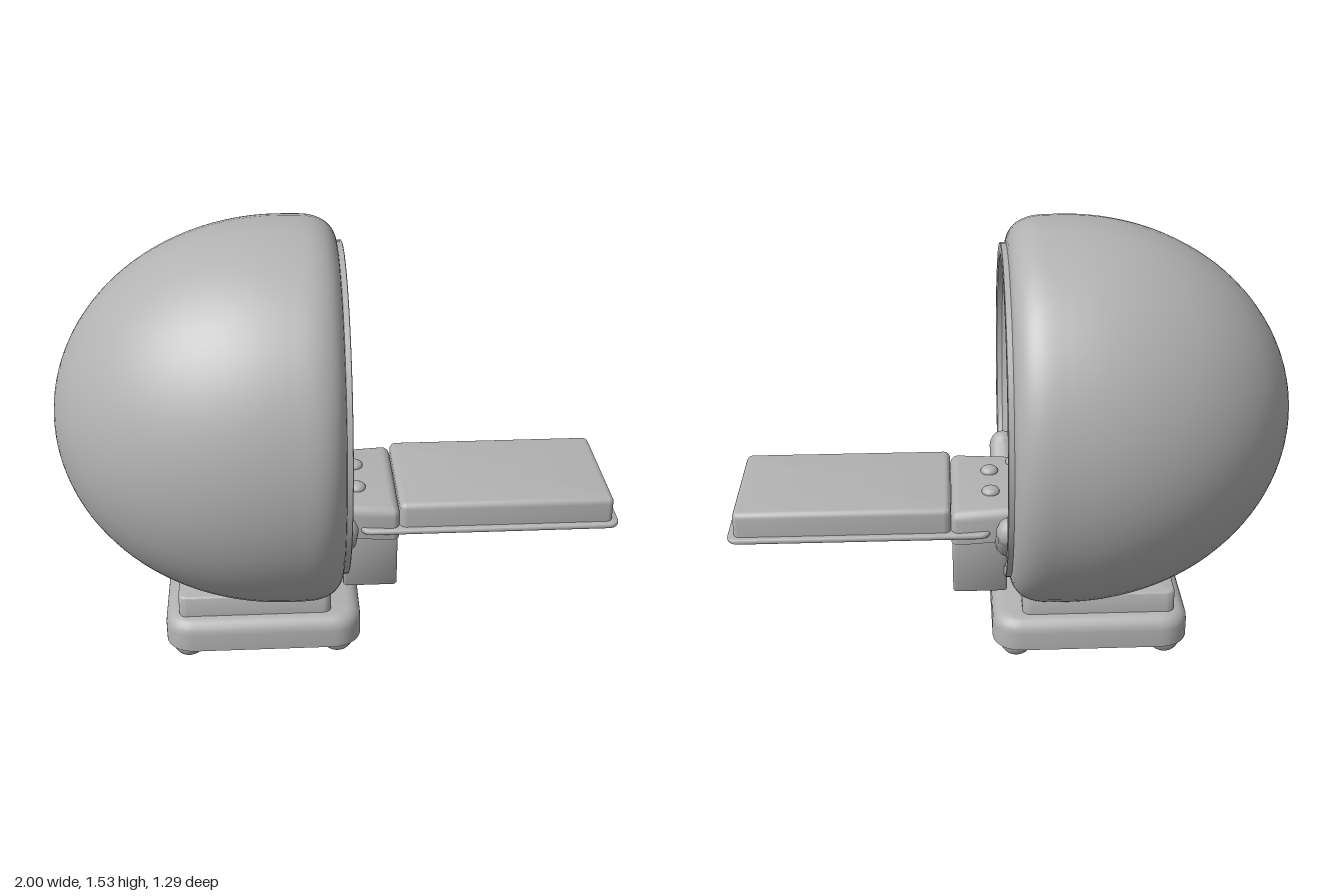
import * as THREE from 'three';
import { toCreasedNormals } from 'three/addons/utils/BufferGeometryUtils.js';

const grey = new THREE.MeshStandardMaterial({ color: 0xb2b2b2 });
grey.name = 'grey';

// Rounded-rectangle block stacked from levels of [height, inset]
function block(x0, x1, halfZ, radius, levels) {
  const steps = 6, pos = [], idx = [];
  const cx = (x0 + x1) / 2, halfX = (x1 - x0) / 2;
  const corners = [[1, -1], [-1, -1], [-1, 1], [1, 1]];
  const n = corners.length * (steps + 1);
  for (const [y, inset] of levels) {
    const r = Math.max(radius - inset, 0.002);
    corners.forEach(([sx, sz], c) => {
      for (let k = 0; k <= steps; k++) {
        const a = (c + k / steps) * Math.PI / 2;
        pos.push(
          cx + sx * (halfX - inset - r) + r * Math.cos(a), y,
          sz * (halfZ - inset - r) - r * Math.sin(a));
      }
    });
  }
  const last = (levels.length - 1) * n, bottom = levels.length * n, top = bottom + 1;
  pos.push(cx, levels[0][0], 0, cx, levels[levels.length - 1][0], 0);
  for (let j = 0; j < n; j++) {
    const k = (j + 1) % n;
    for (let i = 0; i < last; i += n) {
      idx.push(i + j, i + k, i + n + k, i + j, i + n + k, i + n + j);
    }
    idx.push(bottom, k, j, top, last + j, last + k);
  }
  const g = new THREE.BufferGeometry();
  g.setAttribute('position', new THREE.Float32BufferAttribute(pos, 3));
  g.setIndex(idx);
  return g;
}

// Levels with a rounded top edge, and optionally a rounded bottom edge
function rounded(y0, y1, b, roundBottom = false) {
  const out = [], steps = 5;
  const edge = (t) => b * (1 - Math.cos(t));
  if (roundBottom) {
    for (let i = steps; i > 0; i--) {
      const t = i / steps * Math.PI / 2;
      out.push([y0 + b - b * Math.sin(t), edge(t)]);
    }
  } else out.push([y0, 0]);
  for (let i = 0; i <= steps; i++) {
    const t = i / steps * Math.PI / 2;
    out.push([y1 - b + b * Math.sin(t), edge(t)]);
  }
  return out;
}

// Surface of revolution about the x axis, from [x, radius] points
function turned(points) {
  const g = new THREE.LatheGeometry(points.map(([x, r]) => new THREE.Vector2(r, x)), 72);
  return g.rotateZ(-Math.PI / 2);
}

function smoothProfile(points, count) {
  return new THREE.SplineCurve(points.map(([x, r]) => new THREE.Vector2(x, r)))
    .getPoints(count).map((p) => [p.x, Math.max(p.y, 0)]);
}

export function createModel() {
  const model = new THREE.Group();
  model.name = 'podWithBed';
  const add = (name, geometry, parent = model) => {
    const mesh = new THREE.Mesh(geometry, grey);
    mesh.name = name;
    parent.add(mesh);
    return mesh;
  };
  const addBlock = (name, geometry) => add(name, toCreasedNormals(geometry, 0.6));

  // Hollow egg-shaped pod, slightly taller than wide, open towards +x
  const pod = new THREE.Group();
  pod.name = 'pod';
  pod.position.y = 0.83;
  pod.scale.y = 1.085;
  model.add(pod);
  const back = [];
  for (let i = 0; i <= 28; i++) {
    const a = i / 28 * Math.PI / 2;
    back.push([-0.2 - 0.8 * Math.cos(a), 0.645 * Math.sin(a)]);
  }
  const rim = smoothProfile([[-0.2, 0.645], [-0.1, 0.642], [-0.04, 0.622], [-0.006, 0.585], [0.004, 0.54]], 16);
  add('outerShell', turned([...back, ...rim.slice(1)]), pod);
  const lining = smoothProfile([
    [0.004, 0.52], [-0.012, 0.49], [-0.06, 0.445], [-0.15, 0.415], [-0.24, 0.425], [-0.38, 0.47],
    [-0.55, 0.46], [-0.72, 0.36], [-0.84, 0.2], [-0.88, 0]], 50);
  add('innerLining', turned(lining), pod);

  // Thin trim ring round the opening
  add('openingTrim', toCreasedNormals(turned([
    [-0.02, 0.557], [0.02, 0.557], [0.022, 0.553], [0.022, 0.522], [0.018, 0.516], [-0.02, 0.505]]), 0.6), pod);

  // Padded lip along the lower part of the opening
  const arc = [];
  for (let i = -8; i <= 8; i++) {
    const a = i / 8 * 0.88;
    arc.push(new THREE.Vector3(0.005, -0.44 * Math.cos(a), 0.44 * Math.sin(a)));
  }
  add('lowerLip', new THREE.TubeGeometry(new THREE.CatmullRomCurve3(arc), 40, 0.05, 12), pod);
  for (const end of [arc[0], arc[16]]) {
    add('lowerLipEnd', new THREE.SphereGeometry(0.05, 14, 10), pod).position.copy(end);
  }

  // Base, cradle and feet
  addBlock('base', block(-0.635, 0.067, 0.385, 0.1, rounded(0.065, 0.182, 0.05)));
  addBlock('cradle', block(-0.585, -0.04, 0.335, 0.03, rounded(0.17, 0.262, 0.012)));
  for (const x of [-0.555, -0.018]) {
    for (const z of [-0.3, 0.3]) {
      add('foot', new THREE.SphereGeometry(0.06, 18, 12)).position.set(x, 0.06, z);
    }
  }

  // Bed with its support
  addBlock('bedSupport', block(0.01, 0.207, 0.205, 0.015, rounded(0.2, 0.46, 0.01, true)));
  addBlock('bedPlate', block(0.07, 1, 0.255, 0.04, rounded(0.448, 0.468, 0.008, true)));
  addBlock('mattress', block(0.21, 0.977, 0.235, 0.025, rounded(0.46, 0.56, 0.022)));

  // Console, narrowing towards the pod
  const consoleShape = block(-0.15, 0.21, 0.24, 0.03, rounded(0.42, 0.545, 0.035));
  const p = consoleShape.attributes.position;
  for (let i = 0; i < p.count; i++) {
    const t = THREE.MathUtils.clamp((0.16 - p.getX(i)) / 0.2, 0, 1);
    p.setZ(i, p.getZ(i) * (1 - 0.14 * t));
  }
  addBlock('console', consoleShape);

  // Round control buttons
  for (const [x, z] of [[0.065, -0.08], [0.065, 0.08], [-0.03, -0.15], [-0.03, 0.15]]) {
    const button = add('button', new THREE.SphereGeometry(0.033, 16, 10));
    button.position.set(x, 0.548, z);
    button.scale.y = 0.6;
  }
  return model;
}
